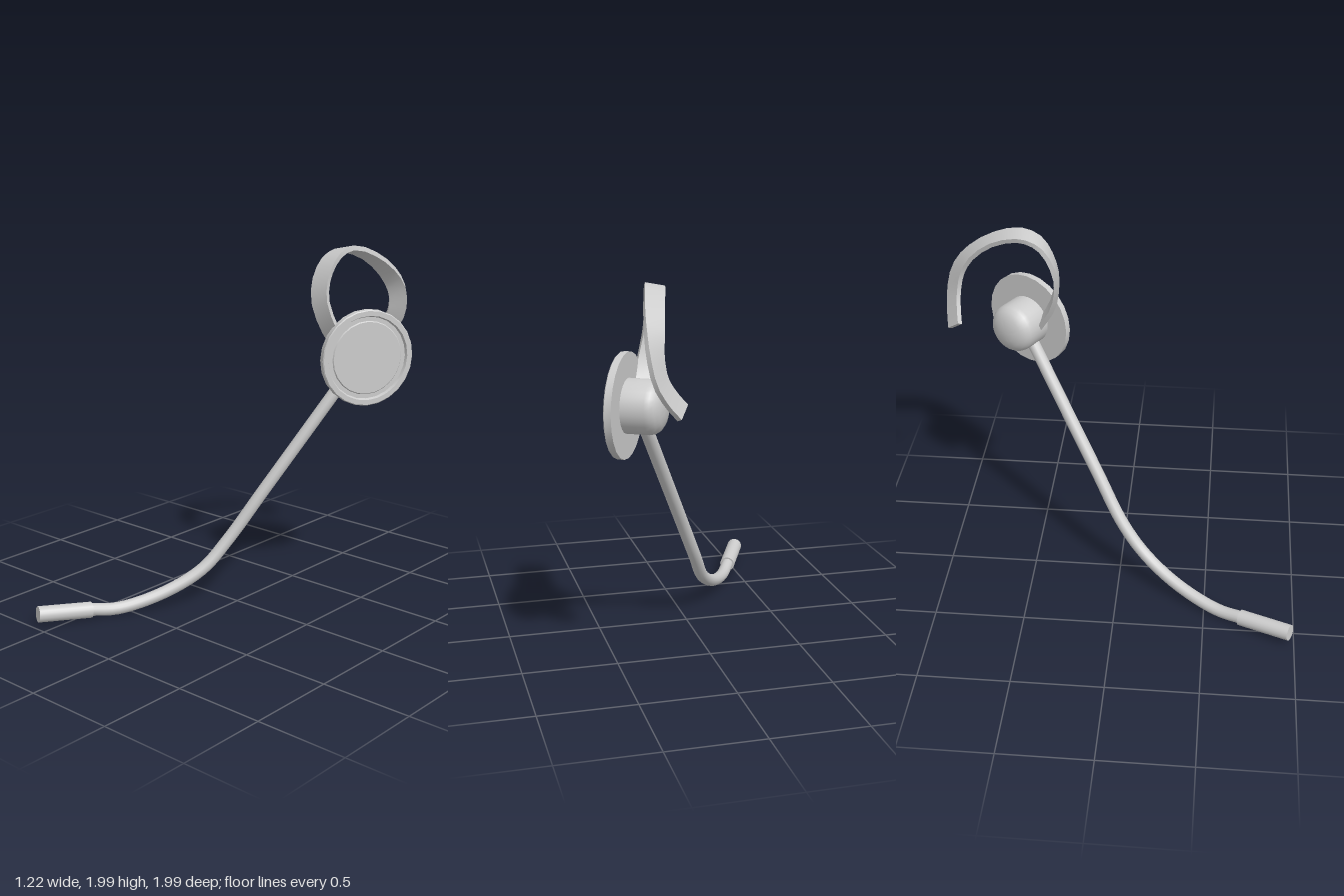
import * as THREE from 'three';
import { toCreasedNormals } from 'three/addons/utils/BufferGeometryUtils.js';

const material = new THREE.MeshStandardMaterial({ color: 0xcccccc });
const V = (x, y, z) => new THREE.Vector3(x, y, z);
const UP = V(0, 1, 0);

function add(group, name, geometry) {
  const mesh = new THREE.Mesh(geometry, material);
  mesh.name = name;
  group.add(mesh);
  return mesh;
}

// Solid of revolution from [radius, height] pairs, bottom to top
function lathe(profile, sides) {
  const points = profile.map(([r, h]) => new THREE.Vector2(r, h));
  return toCreasedNormals(new THREE.LatheGeometry(points, sides), 0.6);
}

// Flat band swept along a path; each station is [x, y, z, wx, wy, wz] with w the width direction
function band(stations, width, thickness, steps) {
  const path = new THREE.CatmullRomCurve3(stations.map(s => V(s[0], s[1], s[2])));
  const across = new THREE.CatmullRomCurve3(stations.map(s => V(s[3], s[4], s[5])));
  const positions = [], index = [];
  for (let i = 0; i <= steps; i++) {
    const t = i / steps;
    const p = path.getPoint(t), tangent = path.getTangent(t);
    const w = across.getPoint(t);
    w.addScaledVector(tangent, -w.dot(tangent)).normalize();
    const n = tangent.clone().cross(w).normalize();
    for (const [a, b] of [[-1, -1], [1, -1], [1, 1], [-1, 1]]) {
      const c = p.clone().addScaledVector(w, a * width / 2).addScaledVector(n, b * thickness / 2);
      positions.push(c.x, c.y, c.z);
    }
  }
  for (let i = 0; i < steps; i++) {
    for (let k = 0; k < 4; k++) {
      const a = i * 4 + k, b = i * 4 + (k + 1) % 4;
      index.push(a, b, b + 4, a, b + 4, a + 4);
    }
  }
  const e = steps * 4;
  index.push(0, 2, 1, 0, 3, 2, e, e + 1, e + 2, e, e + 2, e + 3);
  const geometry = new THREE.BufferGeometry();
  geometry.setAttribute('position', new THREE.Float32BufferAttribute(positions, 3));
  geometry.setIndex(index);
  return toCreasedNormals(geometry, 0.6);
}

export function createModel() {
  const model = new THREE.Group();
  model.name = 'earHookHeadset';

  // Earpiece, built along y and turned to face outwards
  const earpiece = new THREE.Group();
  earpiece.name = 'earpiece';
  earpiece.position.set(0.46, 1.393, -0.55);
  earpiece.quaternion.setFromUnitVectors(UP, V(0.866, 0, 0.5));
  model.add(earpiece);

  // Disc with a raised rim, a groove and an inset cover
  add(earpiece, 'outerDisc', lathe([
    [0, -0.02], [0.267, -0.02], [0.267, 0.015], [0.262, 0.02], [0.235, 0.02],
    [0.228, 0.004], [0.205, 0.004], [0.2, 0.01], [0, 0.01],
  ], 24));

  // Rounded bud on the ear side
  add(earpiece, 'earBud', lathe([
    [0, -0.222], [0.05, -0.218], [0.09, -0.207], [0.118, -0.188],
    [0.133, -0.165], [0.138, -0.14], [0.138, -0.015],
  ], 28));

  // Boom arm: straight from the earpiece, then bending forward
  const boomPath = new THREE.CatmullRomCurve3([
    V(0.355, 1.29, -0.522), V(0.315, 1.2, -0.47), V(0.19, 0.92, -0.307), V(0.065, 0.64, -0.143),
    V(-0.055, 0.37, 0.015), V(-0.13, 0.212, 0.15), V(-0.245, 0.1, 0.34),
    V(-0.375, 0.043, 0.57), V(-0.455, 0.06, 0.72),
  ]);
  add(model, 'boomArm', new THREE.TubeGeometry(boomPath, 48, 0.035, 14));
  const boomCap = add(model, 'boomArmEnd', new THREE.CircleGeometry(0.035, 14));
  boomCap.position.copy(boomPath.getPoint(0));
  boomCap.quaternion.setFromUnitVectors(V(0, 0, 1), boomPath.getTangent(0).negate());

  // Microphone at the tip of the boom
  const micStart = V(-0.447, 0.057, 0.705), micEnd = V(-0.575, 0.081, 0.975);
  const micAxis = micEnd.clone().sub(micStart);
  const mic = add(model, 'microphone', new THREE.CylinderGeometry(0.044, 0.044, micAxis.length(), 20));
  mic.position.copy(micStart).add(micEnd).multiplyScalar(0.5);
  mic.quaternion.setFromUnitVectors(UP, micAxis.normalize());

  // Ear hook: flat band arching over the ear and twisting inward at its tip
  add(model, 'earHook', band([
    [0.37, 1.41, -0.48, 1, 0, -0.1],
    [0.315, 1.56, -0.4, 1, 0.1, -0.1],
    [0.272, 1.72, -0.367, 1, 0.1, -0.1],
    [0.268, 1.85, -0.395, 1, 0.15, -0.1],
    [0.285, 1.94, -0.46, 1, 0.25, -0.15],
    [0.305, 1.972, -0.56, 1, 0.2, -0.2],
    [0.345, 1.92, -0.72, 0.95, 0, -0.35],
    [0.378, 1.81, -0.86, 0.85, -0.1, -0.5],
    [0.39, 1.7, -0.93, 0.75, -0.15, -0.65],
    [0.37, 1.58, -0.955, 0.7, -0.2, -0.7],
    [0.315, 1.49, -0.95, 0.7, -0.25, -0.7],
    [0.262, 1.43, -0.938, 0.7, -0.25, -0.7],
  ], 0.1, 0.026, 24));

  return model;
}
